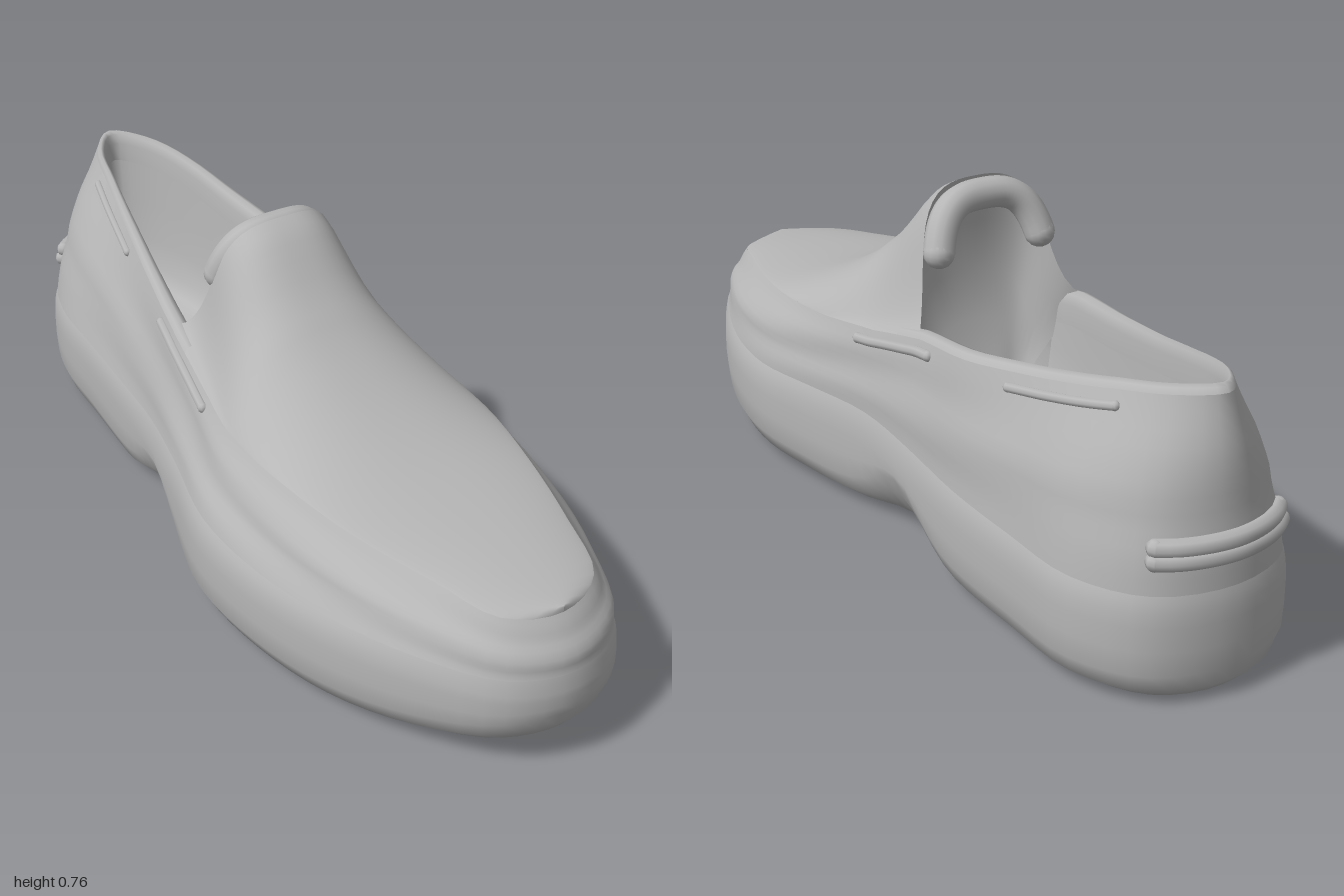
import * as THREE from 'three';

const N = 96;            // samples round the shoe, toe = 0, heel = N / 2
const FRONT = 26;        // sample where the foot opening starts
const lerp = THREE.MathUtils.lerp, clamp = THREE.MathUtils.clamp;

// z, sole x range, top line x range
const PLAN = [
  [0.95, -0.135, 0.145, -0.115, 0.12], [0.8, -0.235, 0.243, -0.165, 0.18],
  [0.6, -0.312, 0.322, -0.22, 0.24], [0.4, -0.35, 0.355, -0.248, 0.28],
  [0.2, -0.348, 0.335, -0.25, 0.285], [0, -0.29, 0.31, -0.208, 0.27],
  [-0.2, -0.235, 0.32, -0.168, 0.27], [-0.4, -0.20, 0.338, -0.115, 0.285],
  [-0.6, -0.17, 0.342, -0.06, 0.265], [-0.8, -0.14, 0.338, -0.005, 0.235],
  [-0.94, -0.07, 0.255, 0.04, 0.185],
];
// height of the top line (seam at the toe, collar at the heel), and of the tongue ridge
const TOP = [[-0.95, 0.605], [-0.8, 0.583], [-0.6, 0.543], [-0.4, 0.51], [-0.19, 0.483],
  [0, 0.44], [0.2, 0.415], [0.4, 0.4], [0.6, 0.38], [0.8, 0.36], [0.95, 0.338]];
const RIDGE = [[-0.05, 0.76], [0, 0.738], [0.1, 0.635], [0.2, 0.555], [0.3, 0.495],
  [0.4, 0.45], [0.5, 0.418], [0.6, 0.4], [0.8, 0.376], [0.95, 0.352]];

function look(table, z) {
  let i = 0;
  while (i < table.length - 2 && z > table[i + 1][0]) i++;
  const [a, b] = [table[i], table[i + 1]];
  return lerp(a[1], b[1], clamp((z - a[0]) / (b[0] - a[0]), 0, 1));
}

// Closed plan curve sampled to N points
function outline(lo, hi, k, toe, heel) {
  const pts = [toe, ...PLAN.map(r => [r[lo], r[0] * k]), heel,
    ...PLAN.slice().reverse().map(r => [r[hi], r[0] * k])];
  const c = new THREE.CatmullRomCurve3(pts.map(p => new THREE.Vector3(p[0], 0, p[1])), true);
  return Array.from({ length: N }, (_, i) => c.getPoint(i / N));
}
const SOLE = outline(1, 2, 1, [0, 1], [0.09, -0.99]);
const EDGE = outline(3, 4, 0.94, [0, 0.94], [0.11, -0.95]);

// Pull a point in towards the centre line by about d
function inset(p, d) {
  const cx = 0.04 - 0.055 * p.z;
  return new THREE.Vector3(cx + (p.x - cx) * (1 - d / 0.17), p.y, p.z * (1 - d / 0.95));
}

// Smooth skin over rows of points
function skin(rows, closed) {
  const n = rows[0].length, idx = [], pos = rows.flat().flatMap(p => [p.x, p.y, p.z]);
  for (let j = 0; j < rows.length - 1; j++) {
    for (let i = 0; i < (closed ? n : n - 1); i++) {
      const a = j * n + i, b = j * n + (i + 1) % n, c = b + n, d = a + n;
      idx.push(a, d, c, a, c, b);
    }
  }
  const g = new THREE.BufferGeometry();
  g.setAttribute('position', new THREE.Float32BufferAttribute(pos, 3));
  g.setIndex(idx);
  g.computeVertexNormals();
  return g;
}

// Outer side of the upper: t = 0 at the welt, 1 at the top line; the right side leans in more
const BULGE = [[0, 0], [0.25, 0.08], [0.5, 0.28], [0.75, 0.6], [1, 1]];
const weltHeight = z => 0.235 + 0.02 * Math.exp(-((z / 0.35) ** 2));
function upperPoint(i, t) {
  i = (i + N) % N;
  const lean = Math.max(0, Math.sin(i / N * Math.PI * 2)) * 0.17 * Math.sin(Math.PI * t);
  const p = inset(SOLE[i], 0.007).lerp(EDGE[i], look(BULGE, t) + lean);
  const q = inset(p, -0.003 * Math.sin(t * 9 + p.z * 5) * Math.sin(Math.PI * t));
  q.y = lerp(weltHeight(SOLE[i].z), look(TOP, EDGE[i].z), t);
  return q;
}

export function createModel() {
  const model = new THREE.Group();
  const leather = new THREE.MeshStandardMaterial({ color: 0xb6b6b6, side: THREE.DoubleSide });
  leather.name = 'grey leather';
  const add = (name, geo) => {
    const m = new THREE.Mesh(geo, leather);
    m.name = name;
    model.add(m);
    return m;
  };

  // Sole: [inset, height, share of the raised waist, share of the ground shape]
  const soleLayers = [[0.17, 0, 0, 1], [0.1, 0, 0.05, 1], [0.05, 0, 0.35, 1], [0.03, 0.004, 0.7, 1],
    [0.012, 0.025, 1, 1], [0.002, 0.065, 1, 0.9], [0, 0.12, 0.5, 0.5], [0, 0.17, 0.1, 0.2],
    [0.001, 0.2, 0, 0], [0.004, 0.222, 0, 0], [0.007, 0.235, 0, 0]];
  add('sole', skin(soleLayers.map(([d, y, arch, ground]) => SOLE.map(s => {
    const p = inset(s, d);
    const spring = 0.006 + 0.085 * clamp((p.z - 0.5) / 0.5, 0, 1) ** 2;
    const rise = (weltHeight(s.z) - 0.235) * clamp((y - 0.1) / 0.135, 0, 1);
    p.y = y + spring * ground + 0.085 * arch * Math.exp(-(((p.z + 0.15) / 0.14) ** 2)) + rise;
    return p;
  })), true));

  // Upper walls
  const ts = Array.from({ length: 13 }, (_, k) => k / 12);
  add('upper', skin(ts.map(t => SOLE.map((_, i) => upperPoint(i, t))), true));

  // Rounded collar round the opening: [inset, height above the top line]
  const opening = EDGE.slice(FRONT, N - FRONT + 1);
  const collar = [[0, 0], [0.006, 0.011], [0.016, 0.015], [0.027, 0.008], [0.033, -0.015], [0.035, -0.06]];
  const rim = collar.map(([d, y]) => opening.map(e => {
    const p = inset(e, d);
    p.y = look(TOP, e.z) + y;
    return p;
  }));
  add('collar', skin(rim, false));

  // Lining that rounds into the foot bed, with a crease along its middle: [narrowing, drop]
  const wall = rim[rim.length - 1];
  const bed = [[0, 0], [0.04, 0.3], [0.1, 0.6], [0.2, 0.82], [0.4, 0.94], [0.7, 0.98], [1, 1]];
  add('lining', skin(bed.map(([narrow, drop]) => wall.map(p => {
    const u = clamp((-p.z - 0.08) / 0.85, 0, 1);
    return new THREE.Vector3(lerp(p.x, lerp(0.03, 0.135, u), narrow), lerp(p.y, 0.2, drop),
      lerp(p.z, lerp(-0.13, -0.75, u), narrow));
  })), false));

  // Apron rising from the toe seam into the tongue
  const LAST = 28, COLS = 32, rows = [];
  for (let i = 0; i <= LAST; i++) {
    const l = EDGE[i], r = EDGE[(N - i) % N], row = [];
    const base = look(TOP, l.z), w = clamp((0.2 - l.z) / 0.39, 0, 1);
    const ridge = look(RIDGE, l.z + 0.15 * w);
    for (let k = 0; k <= COLS; k++) {
      const s = Math.sin((0.5 - k / COLS) * Math.PI);
      const h = Math.max(0, 1 - Math.abs(s) ** lerp(2.3, 3, w)) ** lerp(0.85, 0.7, w);
      const p = l.clone().lerp(r, (s + 1) / 2);
      // the tongue is narrower than the opening and waisted above the seam
      p.x -= w * (0.016 * h + 0.1 * s * Math.sqrt(h) * (1 - h));
      p.y = base + (ridge - base) * h;
      p.z += w * (0.15 * Math.sqrt(h) - 0.03 * s * s * h);
      row.push(p);
    }
    rows.push(row);
  }
  add('apronAndTongue', skin(rows, false));

  // Inner face of the tongue, hollowed and closing the front of the foot opening
  const foot = new THREE.Vector3(0.03, 0.2, -0.13);
  add('tongueLining', skin([0, 0.2, 0.4, 0.6, 0.8, 1].map(f => rows[LAST].map(p => {
    const q = p.clone();
    q.x = lerp(p.x, foot.x, f * f);
    q.y = lerp(p.y, foot.y, f);
    q.z = lerp(p.z, foot.z, f) + 0.07 * Math.sin(Math.PI * f);
    return q;
  })), false));

  // Padded roll on the edge of the tongue, turning down at both ends
  const lip = new THREE.CatmullRomCurve3(rows[LAST].slice(7, COLS - 6).map(p => new THREE.Vector3(
    lerp(0.035, p.x, 0.87), p.y - 0.033, p.z - 0.026)));
  add('tongueRoll', new THREE.TubeGeometry(lip, 40, 0.034, 12));
  for (const end of [0, 1]) {
    add('tongueRollEnd', new THREE.SphereGeometry(0.034, 14, 10)).position.copy(lip.getPoint(end));
  }

  // Raised cords and straps that follow the upper
  const strap = (name, from, to, t0, t1, r) => {
    const path = [];
    for (let i = from; i <= to; i++) path.push(upperPoint(i, lerp(t0, t1, (i - from) / (to - from))));
    const c = new THREE.CatmullRomCurve3(path);
    add(name, new THREE.TubeGeometry(c, path.length * 3, r, 8));
    for (const end of [0, 1]) add(name + 'End', new THREE.SphereGeometry(r, 8, 6)).position.copy(c.getPoint(end));
  };
  strap('sideLace', 23, 29, 0.86, 0.9, 0.012);
  strap('sideLace', N - 29, N - 23, 0.9, 0.86, 0.012);
  strap('collarLace', 35, 41, 0.9, 0.92, 0.01);
  strap('collarLace', N - 41, N - 35, 0.92, 0.9, 0.01);
  strap('heelStrap', 44, 52, 0.26, 0.26, 0.019);
  strap('heelStrap', 44, 52, 0.19, 0.19, 0.019);

  // Tread ribs under the ball and the heel
  for (const [x, z, w] of [[0, 0.5, 0.46], [0, 0.38, 0.5], [0, 0.26, 0.48], [0, 0.14, 0.42],
    [0.09, -0.5, 0.32], [0.09, -0.65, 0.3], [0.09, -0.8, 0.24]]) {
    const rib = add('treadRib', new THREE.BoxGeometry(w, 0.009, 0.04));
    rib.position.set(x, 0.0045, z);
    rib.rotation.y = 0.2;
  }
  return model;
}
